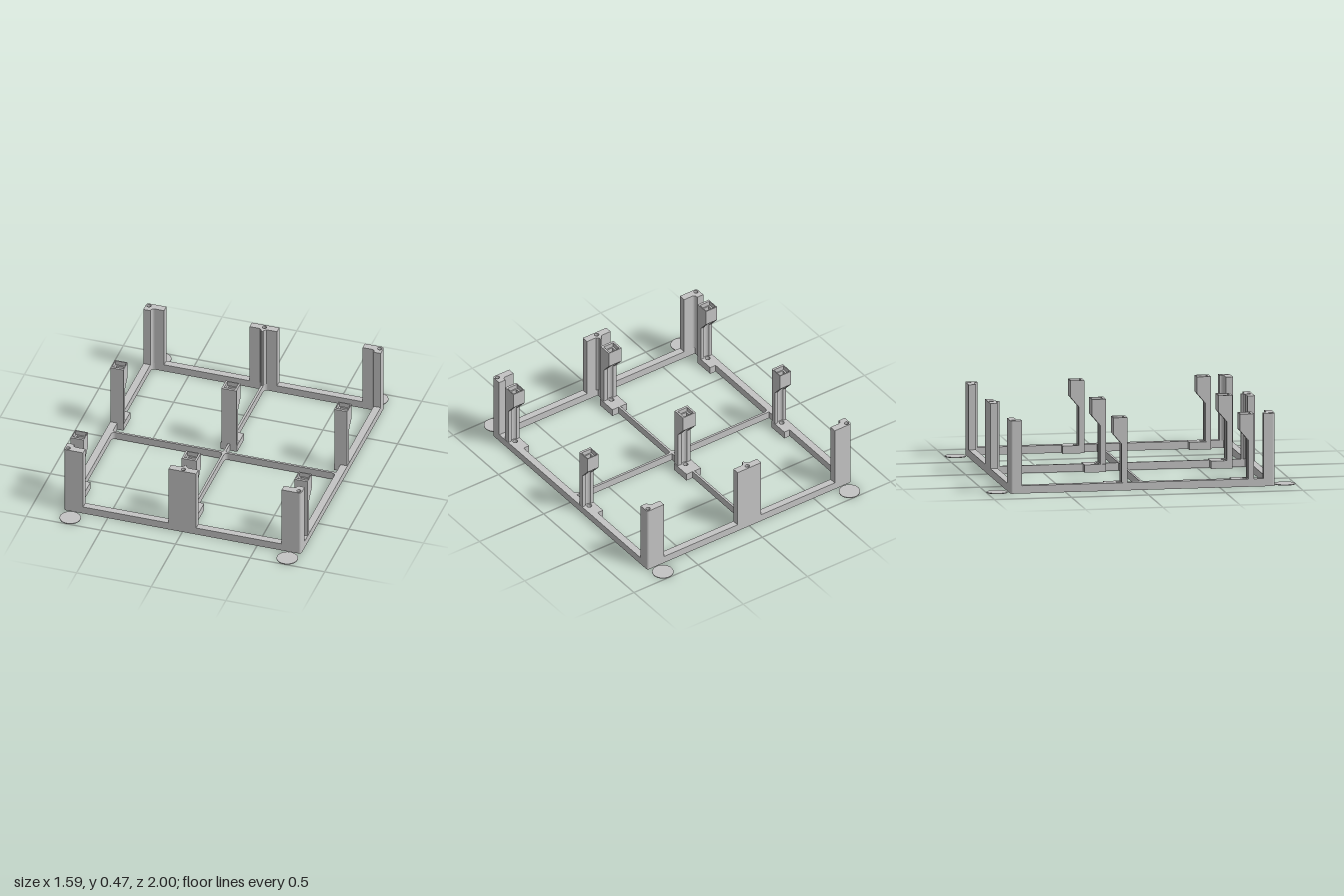
import * as THREE from 'three';

const H = 0.05;    // frame height
const TOP = 0.47;  // post height
const PILLAR_Z = [0.67, -0.15];
const PILLAR_X = [-0.75, 0, 0.75];

// Plan shapes are given as [x, z] points and pulled up along y.
const toPoints = pts => pts.map(([x, z]) => new THREE.Vector2(x, -z));
const arc = (cx, cz, r, a0, a1, n = 8) => Array.from({ length: n + 1 }, (_, i) => {
  const a = a0 + (a1 - a0) * i / n;
  return [cx + r * Math.cos(a), cz + r * Math.sin(a)];
});
const circle = (x, z, r) => arc(x, z, r, 0, Math.PI * 2, 24).slice(0, -1);
const rect = (x0, x1, z0, z1) => [[x0, z0], [x1, z0], [x1, z1], [x0, z1]];

function slab(outline, holes, y0, y1) {
  const points = toPoints(outline);
  if (THREE.ShapeUtils.isClockWise(points)) points.reverse();
  const shape = new THREE.Shape(points);
  shape.holes = holes.map(h => new THREE.Path(toPoints(h)));
  const g = new THREE.ExtrudeGeometry(shape, { depth: y1 - y0, bevelEnabled: false });
  return g.rotateX(-Math.PI / 2).translate(0, y0, 0);
}

export function createModel() {
  const model = new THREE.Group();
  model.name = 'frameWithPosts';
  const grey = new THREE.MeshStandardMaterial({ color: 0xc4c4c4 });
  grey.name = 'grey';
  const add = (parent, name, geometry) => {
    const m = new THREE.Mesh(geometry, grey);
    m.name = name;
    parent.add(m);
    return m;
  };

  // Base frame: four windows, stepped around the pillar pads
  const X = 0.795, Z = 0.857, R = 0.015, q = Math.PI / 2;
  const outline = [
    ...arc(X - R, Z - R, R, 0, q), ...arc(-X + R, Z - R, R, q, 2 * q),
    ...arc(-X + R, -Z + R, R, 2 * q, 3 * q), ...arc(X - R, -Z + R, R, 3 * q, 4 * q),
  ];
  const windowHole = (s, z0, z1, pz) => {
    const xi = 0.0075, xo = 0.748, f = 0.022, p0 = pz - 0.09, p1 = pz + 0.05;
    return [
      ...arc(xi + f, z0 + f, f, 2 * q, 3 * q), ...arc(xo - f, z0 + f, f, 3 * q, 4 * q),
      [xo, p0], [0.706, p0], [0.706, p1], [xo, p1], [xo, z1],
      [xi, z1], [xi, p1], [0.056, p1], [0.056, p0], [xi, p0],
    ].map(([x, z]) => [s * x, z]);
  };
  const holes = [];
  for (const s of [-1, 1]) {
    holes.push(windowHole(s, 0.004, 0.81, PILLAR_Z[0]), windowHole(s, -0.81, -0.011, PILLAR_Z[1]));
  }
  for (const x of PILLAR_X) for (const z of PILLAR_Z) holes.push(circle(x, z, 0.016));
  add(model, 'baseFrame', slab(outline, holes, 0, H));

  // Posts on the front and back rails, each with a blind hole in its top
  const post = (name, pts, hx, hz) => {
    const g = new THREE.Group();
    g.name = name;
    add(g, 'postBody', slab(pts, [], H, TOP - 0.05));
    add(g, 'postTop', slab(pts, [circle(hx, hz, 0.014)], TOP - 0.05, TOP));
    model.add(g);
  };
  for (const sz of [-1, 1]) {
    for (const sx of [-1, 1]) {
      const corner = [
        [0.665, 0.81], [0.728, 0.81], ...arc(0.728, 0.79, 0.02, q, 0, 4), [0.748, 0.783],
        [X, 0.783], ...arc(X - R, Z - R, R, 0, q), [0.665, Z],
      ].map(([x, z]) => [sx * x, sz * z]);
      post('cornerPost', corner, sx * 0.773, sz * 0.834);

      // Round foot pads beside each corner
      const foot = add(model, 'footDisc', new THREE.CylinderGeometry(0.068, 0.068, 0.005, 40));
      foot.position.set(sx * 0.727, 0.0025, sz * 0.932);
    }
    const middle = [
      [-0.092, Z], [0.092, Z], [0.092, 0.81], [0.022, 0.81], [0.0075, 0.795], [0.0075, 0.783],
      [-0.0075, 0.783], [-0.0075, 0.795], [-0.022, 0.81], [-0.092, 0.81],
    ].map(([x, z]) => [x, sz * z]);
    post('middlePost', middle, 0, sz * 0.834);
  }

  // Pillars: grooved column, sloped shoulder and a stepped square socket on top
  const back = 0.05, front = -0.041, face = 0.014;
  const SHOULDER = 0.365, FLOOR = 0.40, STEP = 0.44, G = 0.025;
  const a = Math.asin(face / G);
  const cheekShape = new THREE.Shape([
    new THREE.Vector2(-face, 0.30), new THREE.Vector2(-front, SHOULDER), new THREE.Vector2(-face, SHOULDER),
  ]);
  for (const x of PILLAR_X) {
    const W = x === 0 ? 0.05 : 0.043; // the middle row is wider
    const column = slab(
      [[-W, back], [-W, face], ...arc(0, 0, G, Math.PI - a, a, 10), [W, face], [W, back]],
      [], H, SHOULDER);
    const cheekWidth = W - 0.02;
    const cheek = new THREE.ExtrudeGeometry(cheekShape, { depth: cheekWidth, bevelEnabled: false })
      .rotateY(Math.PI / 2);
    const headPlan = rect(-W, W, front, back);
    const headFloor = slab(headPlan, [circle(0, 0, 0.016)], SHOULDER, FLOOR);
    const socket = slab(headPlan, [rect(-0.026, 0.026, -0.026, 0.026)], FLOOR, STEP);
    const rim = slab(headPlan, [rect(-0.037, 0.037, -0.034, 0.034)], STEP, TOP);
    for (const z of PILLAR_Z) {
      const pillar = new THREE.Group();
      pillar.name = 'pillar';
      pillar.position.set(x, 0, z);
      add(pillar, 'column', column);
      add(pillar, 'shoulderRight', cheek).position.x = -W;
      add(pillar, 'shoulderLeft', cheek).position.x = W - cheekWidth;
      add(pillar, 'headFloor', headFloor);
      add(pillar, 'headSocket', socket);
      add(pillar, 'headRim', rim);
      model.add(pillar);
    }
  }
  return model;
}
